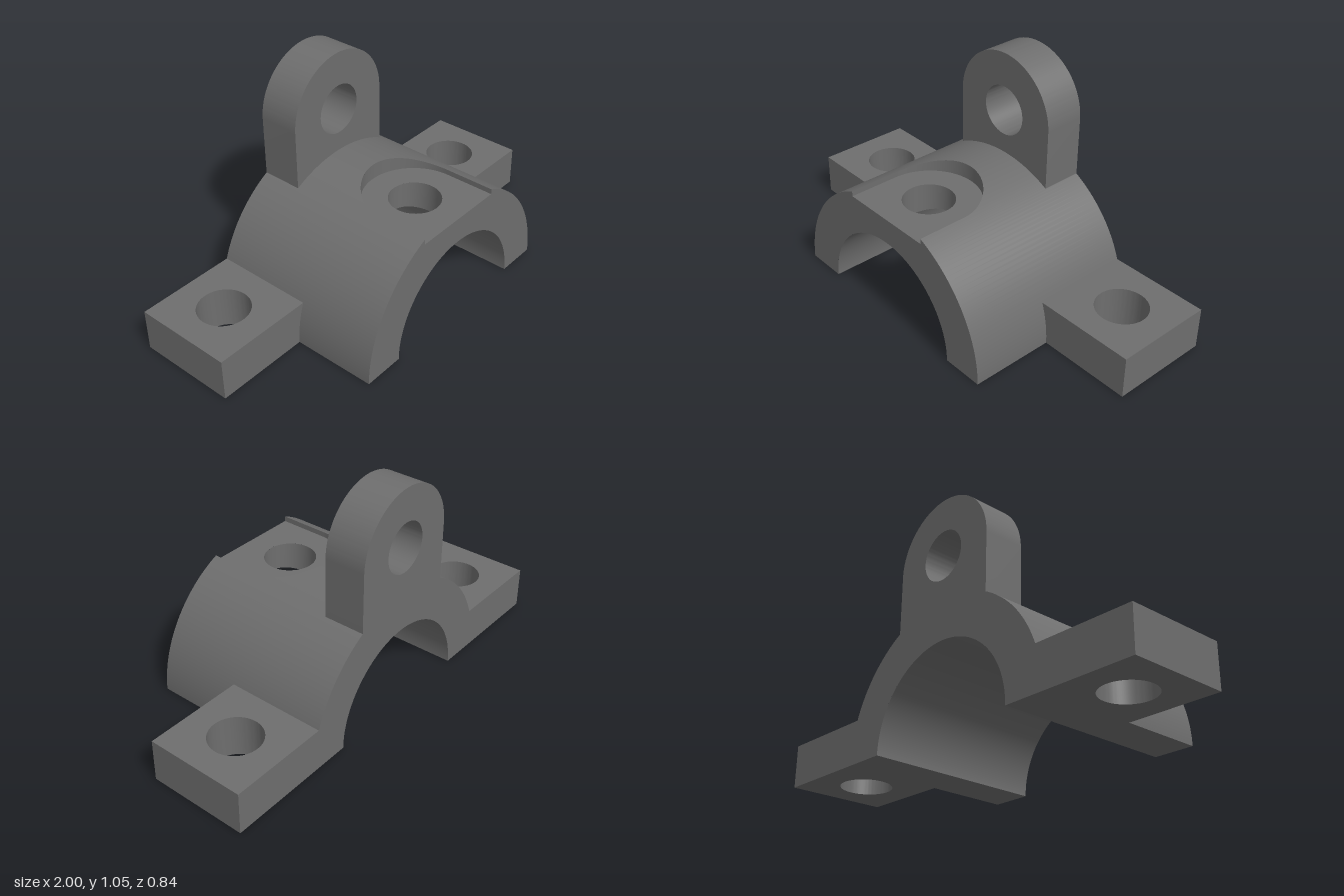
import * as THREE from 'three';
import { mergeGeometries, toCreasedNormals } from 'three/addons/utils/BufferGeometryUtils.js';

const R = 0.575, RI = 0.385;          // arch outer and inner radius
const Z = 0.422;                      // half depth
const W = 0.229, ZC = 0.191, FLOOR = 0.503; // pocket half width, centre and floor height
const HOLE = 0.115;
const SEG = 48, PI = Math.PI;

const height = (r, x) => Math.sqrt(Math.max(0, r * r - x * x));

// Grid surface from f(u, v) -> [x, y, z]; faces along du x dv
function sheet(f, nu = SEG, nv = 1) {
  const pos = [], index = [];
  for (let i = 0; i <= nu; i++) {
    for (let j = 0; j <= nv; j++) {
      pos.push(...f(i / nu, j / nv));
      if (i < nu && j < nv) {
        const a = i * (nv + 1) + j, b = a + nv + 1;
        index.push(a, b, b + 1, a, b + 1, a + 1);
      }
    }
  }
  const g = new THREE.BufferGeometry();
  g.setAttribute('position', new THREE.Float32BufferAttribute(pos, 3));
  g.setIndex(index);
  g.computeVertexNormals();
  return g;
}

// Cylinder strip between two angles, trimmed in z by functions of x
function arcSheet(r, a0, a1, zBack, zFront) {
  return sheet((u, v) => {
    const t = a0 + (a1 - a0) * (1 - Math.cos(PI * u)) / 2;
    const x = r * Math.cos(t);
    return [x, r * Math.sin(t), THREE.MathUtils.lerp(zBack(x), zFront(x), v)];
  });
}

// Vertical round wall facing its own axis
function roundWall(r, sweep, top, bottom) {
  return sheet((u, v) => {
    const x = r * Math.cos(u * sweep);
    return [x, THREE.MathUtils.lerp(top(x), bottom(x), v), ZC - r * Math.sin(u * sweep)];
  });
}

function flat(shape) {
  const g = new THREE.ShapeGeometry(shape, SEG);
  g.deleteAttribute('uv');
  return g;
}

function circle(x, y, r) {
  return new THREE.Path().absarc(x, y, r, 0, 2 * PI, true);
}

function archGeometry() {
  const back = () => -Z, front = () => Z, floor = () => FLOOR;
  const aP = Math.acos(W / R), aH = Math.acos(HOLE / RI);

  // End faces, the front one notched by the pocket
  const rear = new THREE.Shape().moveTo(R, 0).absarc(0, 0, R, 0, PI)
    .lineTo(-RI, 0).absarc(0, 0, RI, PI, 0, true);
  const notched = new THREE.Shape().moveTo(R, 0).absarc(0, 0, R, 0, aP)
    .lineTo(W, FLOOR).lineTo(-W, FLOOR).absarc(0, 0, R, PI - aP, PI)
    .lineTo(-RI, 0).absarc(0, 0, RI, PI, 0, true);

  // Pocket floor with the bolt hole
  const pocket = new THREE.Shape().moveTo(W, -Z).lineTo(W, -ZC)
    .absarc(0, -ZC, W, 0, PI).lineTo(-W, -Z);
  pocket.holes.push(circle(0, -ZC, HOLE));

  const parts = [
    flat(rear).rotateY(PI).translate(0, 0, -Z),
    flat(notched).translate(0, 0, Z),
    flat(pocket).rotateX(-PI / 2).translate(0, FLOOR, 0),
    // Outer skin
    arcSheet(R, 0, aP, back, front),
    arcSheet(R, aP, PI - aP, back, x => ZC - height(W, x)),
    arcSheet(R, PI - aP, PI, back, front),
    // Bore, split around the bolt hole
    arcSheet(RI, aH, 0, back, front),
    arcSheet(RI, PI, PI - aH, back, front),
    arcSheet(RI, PI - aH, aH, back, x => ZC - height(HOLE, x)),
    arcSheet(RI, PI - aH, aH, x => ZC + height(HOLE, x), front),
    // Pocket end and bolt hole walls
    roundWall(W, PI, x => height(R, x), floor),
    roundWall(HOLE, 2 * PI, floor, x => height(RI, x)),
  ];
  // Straight pocket sides and the two bottom faces
  const rim = height(R, W);
  for (const s of [1, -1]) {
    const z0 = s > 0 ? Z : ZC, z1 = s > 0 ? ZC : Z;
    parts.push(sheet((u, v) => [s * W, rim + (FLOOR - rim) * v, z0 + (z1 - z0) * u], 1));
    const x0 = s > 0 ? RI : -R;
    parts.push(sheet((u, v) => [x0 + (R - RI) * u, 0, -Z + 2 * Z * v], 1));
  }
  return toCreasedNormals(mergeGeometries(parts), 0.5);
}

// Drilled foot whose inner edge meets the arch
function footGeometry(s) {
  const [x0, x1] = s > 0 ? [R, 1] : [-1, -R];
  const shape = new THREE.Shape().moveTo(x0, -0.037).lineTo(x1, -0.037)
    .lineTo(x1, Z).lineTo(x0, Z).closePath();
  shape.holes.push(circle(s * 0.772, 0.193, HOLE));
  const g = new THREE.ExtrudeGeometry(shape, { depth: 0.194, bevelEnabled: false, curveSegments: SEG });
  g.rotateX(-PI / 2);
  const p = g.attributes.position;
  for (let i = 0; i < p.count; i++) {
    if (Math.abs(p.getX(i)) < R + 0.005) p.setX(i, s * height(R, p.getY(i)));
  }
  return toCreasedNormals(g, 0.5);
}

// Round-topped upright eye, its base sunk slightly into the arch
function lugGeometry() {
  const w = 0.27, cy = 0.778, r = R - 0.004, a = Math.acos(w / r);
  const shape = new THREE.Shape().moveTo(w, height(r, w)).lineTo(w, cy)
    .absarc(0, cy, w, 0, PI).lineTo(-w, height(r, w))
    .absarc(0, 0, r, PI - a, a, true);
  shape.holes.push(circle(0, cy, HOLE));
  const g = new THREE.ExtrudeGeometry(shape, { depth: 0.19, bevelEnabled: false, curveSegments: SEG });
  return toCreasedNormals(g.translate(0, 0, -Z), 0.5);
}

export function createModel() {
  const group = new THREE.Group();
  group.name = 'bearingCap';
  const material = new THREE.MeshStandardMaterial({ color: 0x6e6e6e });
  const add = (name, geometry) => {
    const mesh = new THREE.Mesh(geometry, material);
    mesh.name = name;
    group.add(mesh);
  };
  add('arch', archGeometry());
  add('leftFoot', footGeometry(1));
  add('rightFoot', footGeometry(-1));
  add('lug', lugGeometry());
  return group;
}
